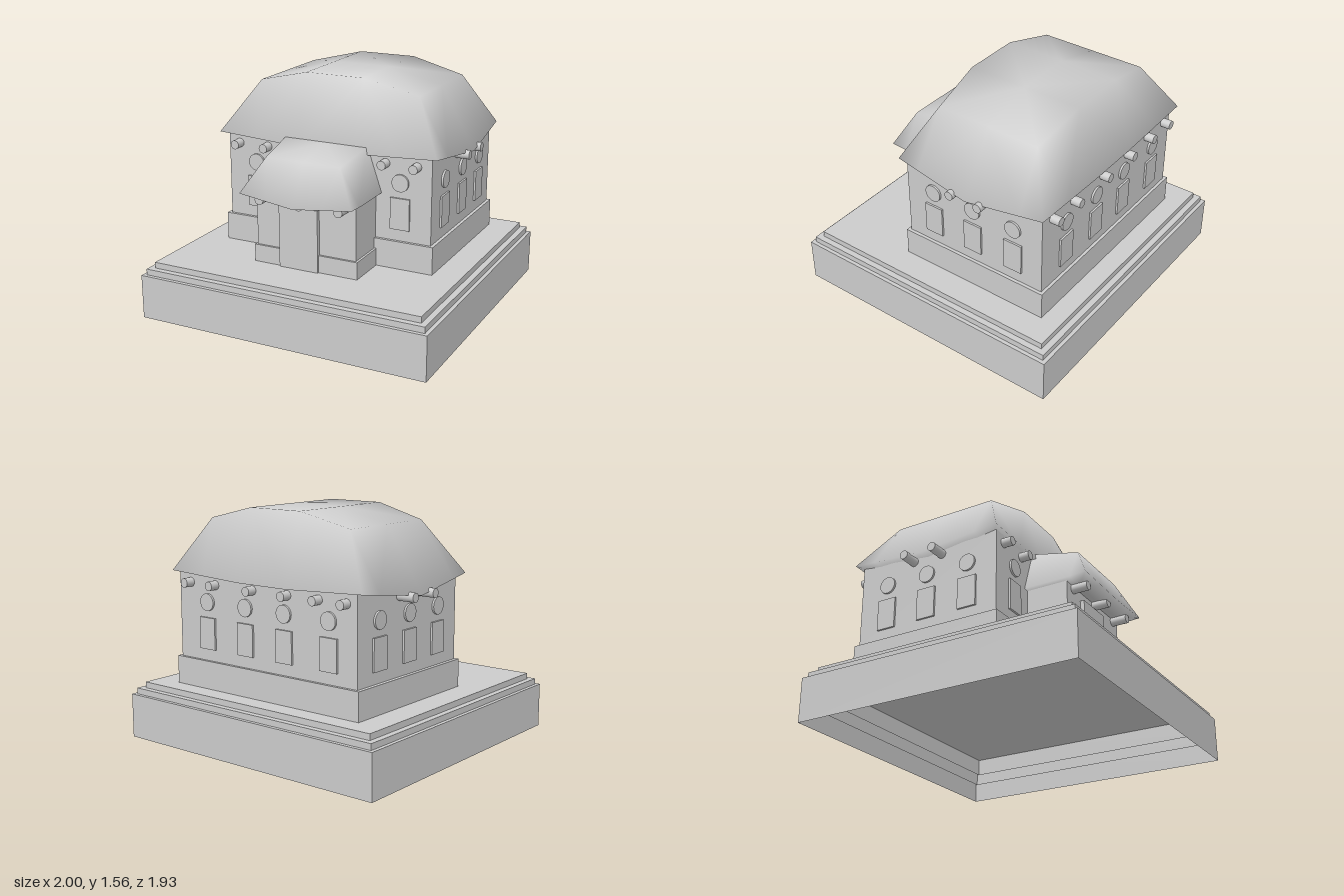
import * as THREE from 'three';

const grey = new THREE.MeshStandardMaterial({ color: 0xcccccc });
const greyBoth = new THREE.MeshStandardMaterial({ color: 0xcccccc, side: THREE.DoubleSide });

function add(parent, name, geometry, material = grey) {
  const mesh = new THREE.Mesh(geometry, material);
  mesh.name = name;
  parent.add(mesh);
  return mesh;
}

// Box given by its minimum and maximum on each axis
function box(parent, name, x0, x1, y0, y1, z0, z1) {
  const mesh = add(parent, name, new THREE.BoxGeometry(x1 - x0, y1 - y0, z1 - z0));
  mesh.position.set((x0 + x1) / 2, (y0 + y1) / 2, (z0 + z1) / 2);
  return mesh;
}

// Box without its bottom face, visible from inside too
function openBox(parent, name, x, y0, y1, z) {
  const mesh = box(parent, name, -x, x, y0, y1, -z, z);
  const index = Array.from(mesh.geometry.index.array);
  index.splice(18, 6);
  mesh.geometry.setIndex(index);
  mesh.geometry.clearGroups();
  mesh.material = greyBoth;
}

// Smooth closed roof: a grid of points over a nearly flat underside sharing the same eaves.
// point(i, j) gives [x, y, z]; i runs along +x, j from front to back.
function roofGeometry(nx, nz, point, underY) {
  const pos = [], index = [], low = [];
  for (let j = 0; j < nz; j++) {
    for (let i = 0; i < nx; i++) pos.push(...point(i, j));
  }
  for (let j = 0; j < nz; j++) {
    for (let i = 0; i < nx; i++) {
      const eave = i === 0 || j === 0 || i === nx - 1 || j === nz - 1;
      low.push(eave ? j * nx + i : pos.length / 3);
      if (!eave) {
        const [x, , z] = point(i, j);
        pos.push(x, underY, z);
      }
    }
  }
  for (let j = 0; j < nz - 1; j++) {
    for (let i = 0; i < nx - 1; i++) {
      const a = j * nx + i, b = a + 1, c = a + nx, d = c + 1;
      // the diagonals follow the hips
      const hip = (i < (nx - 1) / 2) === (j < (nz - 1) / 2);
      const tris = hip ? [[a, b, d], [a, d, c]] : [[a, b, c], [b, d, c]];
      for (const [p, q, r] of tris) index.push(p, q, r, low[p], low[r], low[q]);
    }
  }
  const g = new THREE.BufferGeometry();
  g.setAttribute('position', new THREE.Float32BufferAttribute(pos, 3));
  g.setIndex(index);
  g.computeVertexNormals();
  return g;
}

// Main roof: flat-topped dome with eaves that dip mid-side
function mainRoofPoint(i, j) {
  if (j === 0 || j === 4) {
    const x = [-0.785, -0.5, -0.2, 0.2, 0.5, 0.77][i], bulge = 1 - Math.abs(x) / 0.785;
    return [x, 1.13 - 0.04 * bulge, j === 0 ? 0.31 + 0.01 * bulge : -0.78 + 0.01 * bulge];
  }
  if (i === 0 || i === 5) {
    const mid = j === 2 ? 1 : 0.3;
    return [i === 0 ? -0.785 - 0.04 * mid : 0.77 + 0.04 * mid, 1.13 - 0.07 * mid, [0.15, -0.235, -0.62][j - 1]];
  }
  const shoulder = i === 1 || i === 4;
  const zs = shoulder ? [0.13, -0.235, -0.6] : [0.17, -0.235, -0.635];
  return [[-0.56, -0.2, 0.2, 0.575][i - 1], shoulder ? 1.472 : 1.56, zs[j - 1]];
}

// Porch roof: slopes forward and runs back under the main roof
function porchRoofPoint(i, j) {
  const u = i / 2 - 1, side = Math.abs(u);
  if (j === 0) return [u * 0.392, 0.83 + 0.04 * side, 0.74 - 0.025 * side];
  const z = [0.6, 0.3, 0.12, 0.08][j - 1];
  if (side === 1) return [u * 0.39, 0.862, z];
  if (j === 4) return [u * 0.58, 0.87, z];
  return j === 1 ? [u * 0.52, 1.095, z] : [u * 0.58, 1.15, z];
}

export function createModel() {
  const model = new THREE.Group();
  model.name = 'house';

  // Stepped base: three nested hollow blocks
  for (const [inset, y0, y1] of [[0, 0, 0.295], [0.025, 0.12, 0.335], [0.065, 0.18, 0.375]]) {
    openBox(model, 'baseStep', 1 - inset, y0, y1, 0.965 - inset);
  }

  // House and porch bodies
  box(model, 'plinth', -0.755, 0.752, 0.375, 0.56, -0.77, 0.3);
  box(model, 'walls', -0.73, 0.73, 0.56, 1.13, -0.75, 0.28);
  box(model, 'porchPlinth', -0.37, 0.365, 0.375, 0.49, 0.28, 0.58);
  box(model, 'porchWalls', -0.355, 0.35, 0.49, 0.87, 0.27, 0.565);
  box(model, 'door', -0.18, 0.095, 0.375, 0.79, 0.55, 0.593);

  // Roofs
  add(model, 'mainRoof', roofGeometry(6, 5, mainRoofPoint, 1.1), greyBoth);
  add(model, 'porchRoof', roofGeometry(5, 5, porchRoofPoint, 0.85), greyBoth);

  // One group per wall, with local +z facing outwards
  const sides = [
    { name: 'front', angle: 0, wall: 0.28, windows: [-0.52, 0.52], beams: [-0.65, -0.435, 0.415, 0.63], end: 0.35 },
    { name: 'back', angle: Math.PI, wall: 0.75, windows: [-0.48, -0.15, 0.17, 0.52],
      beams: [0.65, 0.44, 0.195, -0.09, -0.41, -0.63], end: 0.815 },
    { name: 'left', angle: Math.PI / 2, wall: 0.73, windows: [-0.07, 0.235, 0.54], beams: [0.127, 0.34], end: 0.825 },
    { name: 'right', angle: -Math.PI / 2, wall: 0.73, windows: [0.07, -0.235, -0.54], beams: [-0.127, -0.34], end: 0.85 },
  ];
  const beam = (parent, x, y, z0, z1) => {
    const mesh = add(parent, 'roofBeam', new THREE.CylinderGeometry(0.03, 0.03, z1 - z0, 20));
    mesh.rotation.x = Math.PI / 2;
    mesh.position.set(x, y, (z0 + z1) / 2);
  };
  for (const s of sides) {
    const group = new THREE.Group();
    group.name = s.name + 'Details';
    group.rotation.y = s.angle;
    for (const x of s.windows) {
      box(group, 'window', x - 0.066, x + 0.066, 0.637, 0.845, s.wall - 0.02, s.wall + 0.013);
      const disc = add(group, 'roundWindow', new THREE.CylinderGeometry(0.057, 0.057, 0.033, 32));
      disc.rotation.x = Math.PI / 2;
      disc.position.set(x, 0.945, s.wall - 0.003);
    }
    for (const x of s.beams) beam(group, x, 1.062, s.wall - 0.05, s.end);
    model.add(group);
  }
  for (const x of [-0.275, 0.005, 0.28]) beam(model, x, 0.83, 0.53, 0.675);

  return model;
}
